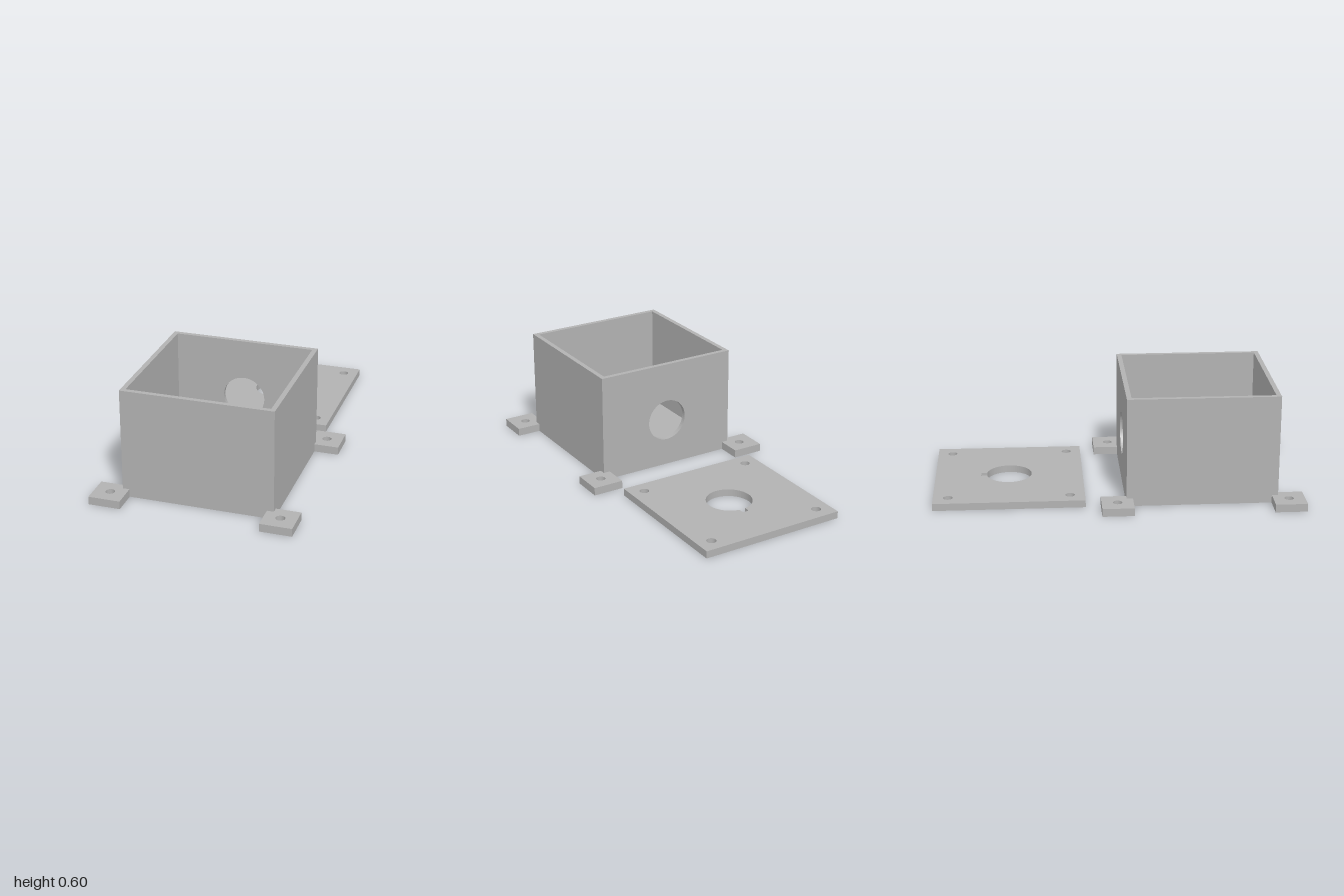
import * as THREE from 'three';

const HALF = 0.41;      // half width of box and lid
const WALL = 0.026;     // wall and floor thickness
const HEIGHT = 0.604;
const BOX_Z = 0.45;     // box centre
const LID_Z = -0.59;    // lid centre

// Rectangle outline centred on (x, y)
function rect(x, y, w, h) {
  return new THREE.Shape([
    new THREE.Vector2(x - w / 2, y - h / 2),
    new THREE.Vector2(x + w / 2, y - h / 2),
    new THREE.Vector2(x + w / 2, y + h / 2),
    new THREE.Vector2(x - w / 2, y + h / 2),
  ]);
}

function roundHole(x, y, r) {
  return new THREE.Path().absarc(x, y, r, 0, Math.PI * 2, true);
}

function extrude(shape, depth) {
  return new THREE.ExtrudeGeometry(shape, { depth, bevelEnabled: false, curveSegments: 32 });
}

// Lay an extruded outline flat: outline y becomes -z, depth becomes height
function slab(shape, depth) {
  return extrude(shape, depth).rotateX(-Math.PI / 2);
}

export function createModel() {
  const model = new THREE.Group();
  model.name = 'enclosureWithLid';
  const grey = new THREE.MeshStandardMaterial({ color: 0xb2b2b2 });
  grey.name = 'grey';

  const add = (parent, name, geometry, x = 0, y = 0, z = 0) => {
    const mesh = new THREE.Mesh(geometry, grey);
    mesh.name = name;
    mesh.position.set(x, y, z);
    parent.add(mesh);
  };

  // Open-topped box
  const box = new THREE.Group();
  box.name = 'box';
  box.position.z = BOX_Z;
  model.add(box);

  const inner = HALF - WALL;
  add(box, 'floor', slab(rect(0, 0, inner * 2, inner * 2), WALL));

  // Front and side walls as one U-shaped outline
  const u = new THREE.Shape([
    [-HALF, -HALF], [HALF, -HALF], [HALF, inner], [inner, inner],
    [inner, -inner], [-inner, -inner], [-inner, inner], [-HALF, inner],
  ].map(([x, y]) => new THREE.Vector2(x, y)));
  add(box, 'frontAndSideWalls', slab(u, HEIGHT));

  // Back wall with cable hole
  const back = rect(0, HEIGHT / 2, HALF * 2, HEIGHT);
  back.holes.push(roundHole(0, 0.27, 0.117));
  add(box, 'backWall', extrude(back, WALL), 0, 0, -HALF);

  // Drilled mounting feet at the four corners
  const foot = rect(0, 0, 0.172, 0.172);
  foot.holes.push(roundHole(0, 0, 0.025));
  const footGeometry = slab(foot, 0.044);
  for (const sx of [-1, 1]) {
    for (const sz of [-1, 1]) {
      const name = (sz > 0 ? 'front' : 'back') + (sx > 0 ? 'Left' : 'Right') + 'Foot';
      add(box, name, footGeometry, sx * 0.459, 0, sz * 0.462);
    }
  }

  // Lid plate lying behind the box, with corner screw holes
  const lid = rect(0, 0, HALF * 2, HALF * 2);
  for (const sx of [-1, 1]) {
    for (const sy of [-1, 1]) lid.holes.push(roundHole(sx * 0.329, sy * 0.329, 0.026));
  }

  // Central round hole with a key slot toward the back
  const r = 0.125, slot = 0.018, slotEnd = 0.157;
  const d = Math.asin(slot / r);
  const key = new THREE.Path();
  key.moveTo(-slot, slotEnd);
  key.lineTo(slot, slotEnd);
  key.absarc(0, 0, r, Math.PI / 2 - d, Math.PI / 2 + d, true);
  key.closePath();
  lid.holes.push(key);
  add(model, 'lid', slab(lid, 0.04), 0, 0, LID_Z);

  return model;
}
